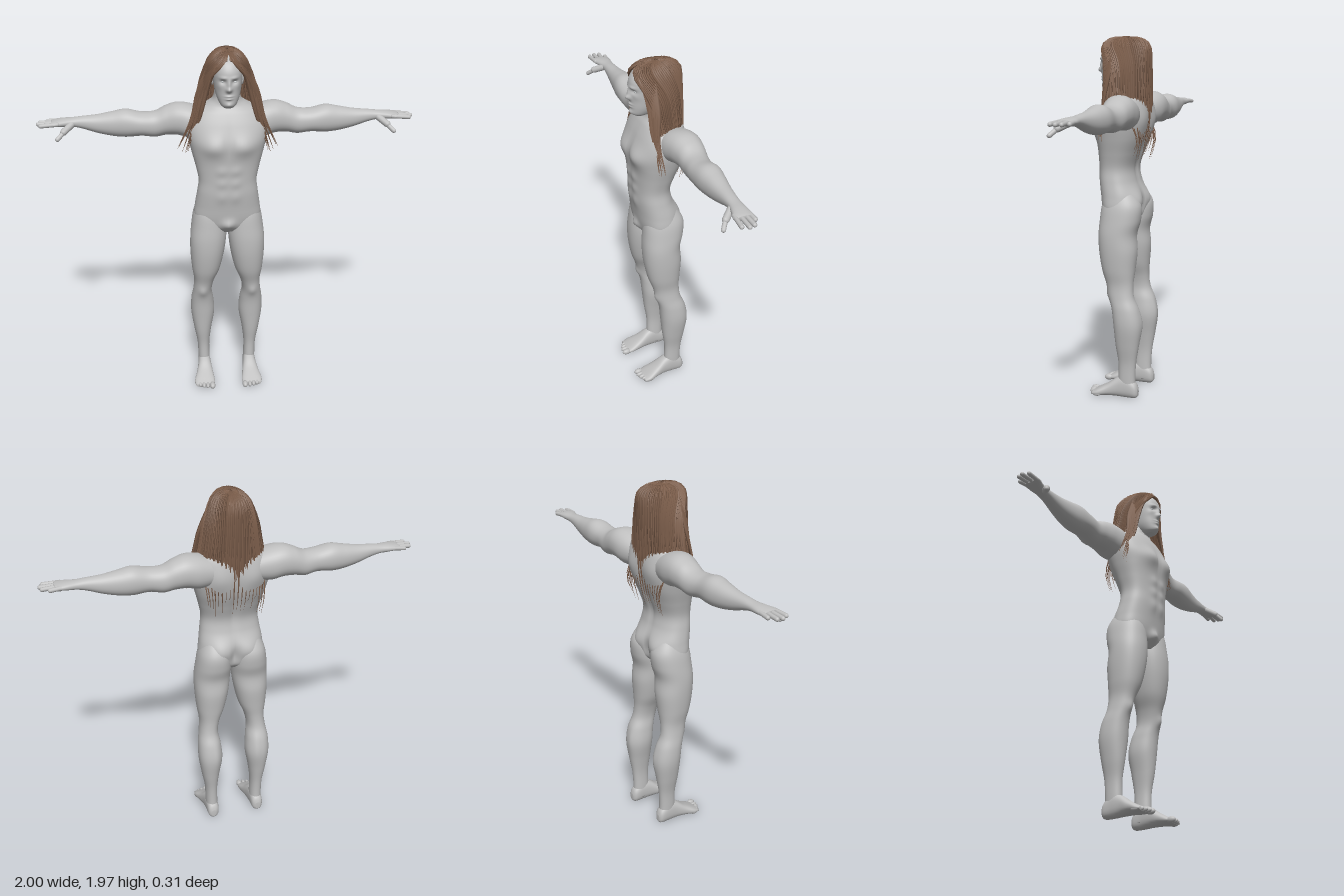
import * as THREE from 'three';
import { mergeGeometries } from 'three/addons/utils/BufferGeometryUtils.js';

const skin = new THREE.MeshStandardMaterial({ name: 'grey skin', color: 0xbfbfbf });
const hairMat = new THREE.MeshStandardMaterial({ name: 'brown hair', color: 0x7c5e4b, side: THREE.DoubleSide });
const eyeMat = new THREE.MeshStandardMaterial({ name: 'pale eye', color: 0xd6dadb });
const V = (x, y, z) => new THREE.Vector3(x, y, z);

// Smooth interpolation through rows of numbers, t from 0 to 1
function sample(rows, t) {
  const n = rows.length - 1, k = Math.min(Math.floor(t * n), n - 1), f = t * n - k;
  const a = rows[Math.max(k - 1, 0)], b = rows[k], c = rows[k + 1], d = rows[Math.min(k + 2, n)];
  return b.map((_, i) => b[i] + 0.5 * f * (c[i] - a[i] + f * (2 * a[i] - 5 * b[i] + 4 * c[i] - d[i]
    + f * (3 * (b[i] - c[i]) + d[i] - a[i]))));
}

const place = { y: (t, a, b) => [a, t, b], x: (t, a, b) => [t, b, a], z: (t, a, b) => [b, a, t] };

// Closed loft; rows are [t, aMin, aMax, bMin, bMax]; bumps are [|x|, y, rx, ry, amount, side]
function loft(axis, rows, { sides = 40, steps = 60, power = 2.2, bumps = [] } = {}) {
  const pos = [], idx = [], round = (c) => Math.sign(c) * Math.abs(c) ** (2 / power);
  for (let i = 0; i <= steps; i++) {
    const [t, a0, a1, b0, b1] = sample(rows, i / steps);
    for (let j = 0; j < sides; j++) {
      const q = (j / sides) * Math.PI * 2, s = round(Math.sin(q));
      const a = (a0 + a1) / 2 + round(Math.cos(q)) * (a1 - a0) / 2;
      let b = (b0 + b1) / 2 + s * (b1 - b0) / 2;
      for (const [x, y, rx, ry, amount, side] of bumps) {
        const w = Math.exp(-(((Math.abs(a) - x) / rx) ** 2) - ((t - y) / ry) ** 2);
        b += amount * side * w * Math.max(0, s * side);
      }
      pos.push(...place[axis](t, a, b));
    }
  }
  for (let i = 0; i < steps; i++) for (let j = 0; j < sides; j++) {
    const k = (j + 1) % sides, p = i * sides, n = p + sides;
    idx.push(p + j, n + j, p + k, n + j, n + k, p + k);
  }
  const end = (steps + 1) * sides, last = steps * sides;
  for (const [t, a0, a1, b0, b1] of [rows[0], rows[rows.length - 1]])
    pos.push(...place[axis](t, (a0 + a1) / 2, (b0 + b1) / 2));
  for (let j = 0; j < sides; j++) {
    const k = (j + 1) % sides;
    idx.push(end, j, k, end + 1, last + k, last + j);
  }
  const g = new THREE.BufferGeometry();
  g.setAttribute('position', new THREE.Float32BufferAttribute(pos, 3));
  g.setIndex(idx);
  g.computeVertexNormals();
  return g;
}

const symmetric = (rows) => rows.map(([y, w, z0, z1]) => [y, -w, w, z0, z1]);

// Mirror a geometry in x, keeping its faces outward
function mirrored(geo) {
  const g = geo.clone().scale(-1, 1, 1), ix = g.index.array;
  for (let i = 0; i < ix.length; i += 3) [ix[i], ix[i + 1]] = [ix[i + 1], ix[i]];
  return g;
}

function capsule(from, to, r) {
  const d = to.clone().sub(from), g = new THREE.CapsuleGeometry(r, d.length() - r, 6, 12);
  g.applyQuaternion(new THREE.Quaternion().setFromUnitVectors(V(0, 1, 0), d.normalize()));
  const m = from.clone().add(to).multiplyScalar(0.5);
  return g.translate(m.x, m.y, m.z);
}

// Ellipsoid without uv, so that it merges with lofts
const ball = (x, y, z, rx, ry, rz) =>
  new THREE.SphereGeometry(1, 18, 12).deleteAttribute('uv').scale(rx, ry, rz).translate(x, y, z);

// Hair surface: u = -1..1 around the head (0 is the back), v = 0..1 from crown to tips
const hairRows = [ // y, x radius, z radius, widest angle
  [1.966, 0.004, 0.004, 180], [1.957, 0.05, 0.08, 180], [1.925, 0.086, 0.127, 168], [1.87, 0.112, 0.133, 145],
  [1.8, 0.138, 0.133, 126], [1.7, 0.16, 0.133, 119], [1.6, 0.18, 0.133, 114], [1.5, 0.19, 0.13, 108]];
function hairPoint(u, v, grow = 1) {
  const [y, rx, rz, deg] = sample(hairRows, v), q = u * THREE.MathUtils.degToRad(deg);
  return V(Math.sin(q) * rx * grow, y + (grow - 1) * 0.1, -0.012 - Math.cos(q) * rz * grow);
}

// Tapered lock of hair along a path
function lock(points, r) {
  const path = new THREE.CatmullRomCurve3(points), n = 14, g = new THREE.TubeGeometry(path, n, r, 5);
  const p = g.attributes.position, v = V(0, 0, 0);
  for (let i = 0; i < p.count; i++) {
    const t = Math.floor(i / 6) / n, c = path.getPointAt(t);
    v.fromBufferAttribute(p, i).sub(c).multiplyScalar(Math.min(1, 0.3 + t * 3, 0.04 + (1 - t) * 1.7)).add(c);
    p.setXYZ(i, v.x, v.y, v.z);
  }
  g.computeVertexNormals();
  return g;
}

export function createModel() {
  const model = new THREE.Group();
  model.name = 'longHairedFigure';
  const add = (name, geo, mat = skin) => {
    const m = new THREE.Mesh(geo, mat);
    m.name = name;
    model.add(m);
  };
  const pair = (name, geo, mat) => {
    add('left' + name, geo, mat);
    add('right' + name, mirrored(geo), mat);
  };

  // Torso and neck
  add('torso', loft('y', symmetric([
    [0.965, 0.07, -0.06, 0.06], [1.0, 0.15, -0.095, 0.085], [1.05, 0.18, -0.105, 0.098], [1.12, 0.175, -0.108, 0.108],
    [1.2, 0.163, -0.083, 0.118], [1.27, 0.156, -0.075, 0.12], [1.35, 0.172, -0.1, 0.124], [1.43, 0.193, -0.13, 0.13],
    [1.51, 0.21, -0.145, 0.128], [1.58, 0.21, -0.145, 0.105], [1.64, 0.175, -0.135, 0.075], [1.675, 0.11, -0.115, 0.052],
    [1.71, 0.073, -0.092, 0.05], [1.78, 0.064, -0.08, 0.055]]), { sides: 72, steps: 110, power: 2.35, bumps: [
    [0.085, 1.475, 0.07, 0.05, 0.024, 1], [0, 1.5, 0.012, 0.08, -0.006, 1], // chest
    [0.035, 1.34, 0.03, 0.028, 0.007, 1], [0.035, 1.27, 0.03, 0.028, 0.007, 1], [0.035, 1.19, 0.03, 0.035, 0.006, 1], // abdomen
    [0, 1.02, 0.03, 0.03, 0.022, 1],
    [0.1, 1.53, 0.06, 0.07, 0.012, -1], [0, 1.38, 0.02, 0.17, -0.014, -1], // shoulder blades, spine
    [0.09, 1.08, 0.065, 0.06, 0.026, -1], [0, 1.06, 0.015, 0.06, -0.02, -1]] })); // buttocks

  // Legs
  pair('Leg', loft('y', [
    [0.03, 0.1, 0.163, -0.12, -0.02], [0.1, 0.1, 0.166, -0.115, -0.02], [0.2, 0.101, 0.17, -0.12, -0.02],
    [0.3, 0.089, 0.188, -0.136, -0.006], [0.41, 0.071, 0.204, -0.15, 0.005], [0.5, 0.077, 0.202, -0.135, 0.015],
    [0.57, 0.087, 0.191, -0.107, 0.032], [0.64, 0.074, 0.186, -0.1, 0.05], [0.72, 0.042, 0.197, -0.106, 0.077],
    [0.82, 0.019, 0.205, -0.114, 0.095], [0.91, 0.007, 0.205, -0.108, 0.1], [0.99, 0.002, 0.197, -0.128, 0.095],
    [1.07, 0.008, 0.183, -0.13, 0.085], [1.14, 0.03, 0.155, -0.09, 0.06]],
  { steps: 80, bumps: [[0.14, 0.58, 0.025, 0.03, 0.01, 1], [0.115, 0.44, 0.02, 0.08, 0.005, -1]] }));

  // Feet and toes
  const toes = [0.095, 0.122, 0.144, 0.164, 0.183].map((x, i) =>
    ball(x, 0.017, 0.13 - i * i * 0.0022, i ? 0.0115 : 0.016, i ? 0.014 : 0.017, 0.026));
  pair('Foot', mergeGeometries([loft('z', [
    [-0.132, 0.015, 0.055, 0.12, 0.148], [-0.115, 0.002, 0.09, 0.102, 0.164], [-0.06, 0, 0.125, 0.097, 0.168],
    [-0.01, 0.002, 0.108, 0.092, 0.172], [0.04, 0.003, 0.073, 0.085, 0.183], [0.09, 0.001, 0.045, 0.079, 0.196],
    [0.125, 0.004, 0.026, 0.084, 0.188]], { sides: 32, steps: 36, power: 2.4 }), ...toes]));

  // Arms, running from the shoulders to the palms
  pair('Arm', loft('x', [
    [0.1, -0.13, 0.03, 1.49, 1.63], [0.19, -0.152, 0.035, 1.48, 1.66], [0.26, -0.155, 0.02, 1.495, 1.667],
    [0.32, -0.149, 0.005, 1.495, 1.65], [0.38, -0.141, 0, 1.485, 1.622], [0.45, -0.131, 0.005, 1.495, 1.621],
    [0.53, -0.135, 0.001, 1.489, 1.637], [0.6, -0.127, -0.01, 1.495, 1.626], [0.68, -0.113, -0.022, 1.513, 1.612],
    [0.76, -0.101, -0.03, 1.54, 1.605], [0.81, -0.098, -0.03, 1.552, 1.6], [0.86, -0.102, -0.018, 1.556, 1.598],
    [0.9, -0.102, -0.005, 1.56, 1.593], [0.92, -0.096, -0.01, 1.566, 1.588]], { sides: 36, steps: 80 }));

  // Fingers and thumbs
  const fingers = [[-0.09, 0.955, -0.096], [-0.067, 0.992, -0.073], [-0.043, 1, -0.045], [-0.019, 0.985, -0.012]]
    .map(([z, tipX, tipZ]) => capsule(V(0.88, 1.578, z), V(tipX - 0.006, 1.573, tipZ), 0.0115));
  pair('Fingers', mergeGeometries([...fingers,
    capsule(V(0.81, 1.572, -0.045), V(0.86, 1.54, 0.012), 0.018), capsule(V(0.845, 1.55, 0), V(0.89, 1.51, 0.035), 0.012)]));

  // Head with sculpted face
  add('head', loft('y', symmetric([
    [1.682, 0.026, 0.04, 0.1], [1.697, 0.042, 0, 0.118], [1.73, 0.059, -0.05, 0.122], [1.77, 0.069, -0.08, 0.123],
    [1.82, 0.076, -0.1, 0.126], [1.87, 0.079, -0.105, 0.126], [1.91, 0.072, -0.1, 0.106], [1.935, 0.052, -0.08, 0.075],
    [1.945, 0.02, -0.03, 0.04]]), { sides: 96, steps: 110, bumps: [
    [0, 1.787, 0.015, 0.014, 0.021, 1], [0, 1.815, 0.01, 0.025, 0.013, 1], // nose
    [0.03, 1.847, 0.02, 0.009, 0.006, 1], [0.03, 1.825, 0.016, 0.012, -0.012, 1], // brows, sockets
    [0, 1.751, 0.02, 0.006, 0.007, 1], [0, 1.737, 0.018, 0.006, 0.007, 1], [0, 1.705, 0.018, 0.012, 0.008, 1],
    [0.05, 1.8, 0.014, 0.018, 0.004, 1]] })); // lips, chin, cheeks
  pair('Eye', ball(0.03, 1.825, 0.099, 0.0125, 0.008, 0.0125), eyeMat);
  pair('Ear', ball(0.078, 1.81, 0.0, 0.008, 0.03, 0.018));

  // Hair sheet with a ragged lower edge and fine ridges
  let seed = 7;
  const rand = () => (seed = (seed * 16807) % 2147483647) / 2147483647;
  const sheet = new THREE.PlaneGeometry(2, 1, 120, 40), p = sheet.attributes.position;
  const tips = Array.from({ length: 121 }, () => 0.88 + 0.12 * rand());
  for (let i = 0; i < p.count; i++) {
    const col = i % 121, v = (Math.floor(i / 121) / 40) * tips[col];
    const h = hairPoint(p.getX(i), v, 1 + 0.012 * Math.sin(col * 1.9));
    p.setXYZ(i, h.x, h.y, h.z);
  }
  sheet.computeVertexNormals();
  add('hairSheet', sheet, hairMat);

  // Locks over the sheet, a few at the back hanging lower
  const locks = [];
  for (let i = 0; i < 64; i++) {
    const u = -0.98 + (1.96 * i) / 63, end = 0.82 + 0.18 * rand(), pts = [];
    for (let k = 0; k <= 7; k++) pts.push(hairPoint(u, 0.1 + (end - 0.1) * k / 7, 1.01));
    if (Math.abs(u) < 0.55 && i % 2) {
      const low = pts[pts.length - 1];
      pts.push(V(low.x * 0.95, 1.42, -0.13), V(low.x * 0.9, 1.3 + 0.09 * rand(), -0.105));
    }
    locks.push(lock(pts, 0.008));
  }
  add('backLocks', mergeGeometries(locks), hairMat);

  // Long locks sweeping from the parting over the front of each shoulder
  const front = [];
  for (let i = 0; i < 12; i++) {
    const f = i / 11, low = 1.42 + 0.14 * rand() * (1 - f * 0.5);
    front.push(lock([V(0.006, 1.956 - 0.025 * (1 - f), 0.095 - 0.09 * f), V(0.05 + 0.025 * f, 1.915 + 0.01 * f, 0.1 - 0.08 * f),
      V(0.088 + 0.03 * f, 1.84, 0.078 - 0.05 * f), V(0.115 + 0.045 * f, 1.74, 0.066 - 0.035 * f),
      V(0.145 + 0.045 * f, 1.62, 0.065 - 0.02 * f), V(0.18 + 0.085 * f, low, 0.055 - 0.02 * rand())], 0.011));
  }
  pair('FrontLocks', mergeGeometries(front), hairMat);

  return model;
}
